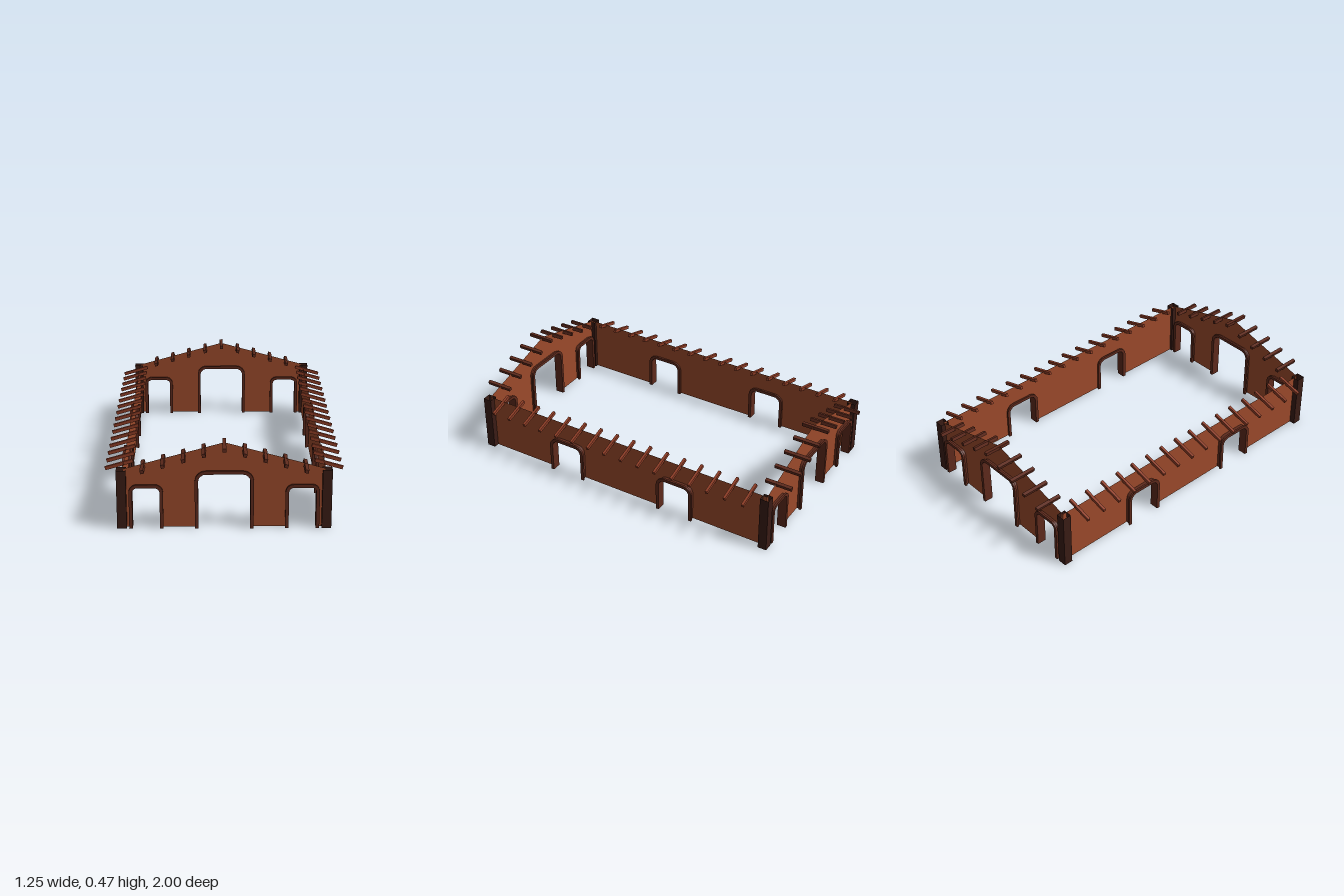
import * as THREE from 'three';

const mat = (color, side = THREE.FrontSide) => {
  const m = new THREE.MeshStandardMaterial({ color });
  m.side = side;
  return m;
};
const wallMat = mat(0x9c4a2b, THREE.DoubleSide);
const postMat = mat(0x3a1c15, THREE.DoubleSide);
const frameMat = mat(0x5e2a1c);
const rafterMat = mat(0x8f3d26);
const purlinMat = mat(0x5e2a1c);

const HALF_W = 0.525, HALF_L = 0.91, EAVE = 0.325, RIDGE = 0.47;
const SLOPE = Math.atan((RIDGE - EAVE) / HALF_W);

// Doorways: centre, half width of opening, height of opening, corner radius
const gableDoors = [[-0.406, 0.071, 0.227, 0.025], [0, 0.135, 0.302, 0.04], [0.406, 0.071, 0.227, 0.025]];
const sideDoors = [[-0.357, 0.095, 0.203, 0.035], [0.357, 0.095, 0.203, 0.035]];

function add(parent, name, geometry, material, x = 0, y = 0, z = 0) {
  const mesh = new THREE.Mesh(geometry, material);
  mesh.name = name;
  mesh.position.set(x, y, z);
  parent.add(mesh);
  return mesh;
}

// Points along a round-cornered doorway, from left foot to right foot
function archPoints([c, w, h, r], grow = 0) {
  w += grow; h += grow; r += grow;
  const pts = [new THREE.Vector2(c - w, 0)];
  for (const [cx, start] of [[c - w + r, Math.PI], [c + w - r, Math.PI / 2]]) {
    for (let i = 0; i <= 6; i++) {
      const a = start - (i / 6) * Math.PI / 2;
      pts.push(new THREE.Vector2(cx + r * Math.cos(a), h - r + r * Math.sin(a)));
    }
  }
  pts.push(new THREE.Vector2(c + w, 0));
  return pts;
}

// Arch-shaped band around a doorway
function archBand(door, width, depth) {
  const shape = new THREE.Shape([...archPoints(door, width), ...archPoints(door).reverse()]);
  return new THREE.ExtrudeGeometry(shape, { depth, bevelEnabled: false }).translate(0, 0, -depth / 2);
}

// Thin wall with doorways cut up from the ground, plus channel-shaped frames
function makeWall(name, half, doors, ridge, frameShift) {
  const group = new THREE.Group();
  group.name = name;
  const pts = [new THREE.Vector2(-half, 0)];
  for (const d of doors) pts.push(...archPoints(d, 0.005));
  pts.push(new THREE.Vector2(half, 0), new THREE.Vector2(half, EAVE));
  if (ridge) pts.push(new THREE.Vector2(0, ridge));
  pts.push(new THREE.Vector2(-half, EAVE));
  add(group, 'wallPanel', new THREE.ShapeGeometry(new THREE.Shape(pts)), wallMat);

  for (const d of doors) {
    const frame = new THREE.Group();
    frame.name = 'doorFrame';
    frame.position.z = frameShift;
    add(frame, 'lining', archBand(d, 0.010, 0.034), frameMat);
    for (const s of [-1, 1]) add(frame, 'flange', archBand(d, 0.018, 0.011), frameMat, 0, 0, s * 0.0205);
    group.add(frame);
  }
  return group;
}

export function createModel() {
  const model = new THREE.Group();
  model.name = 'gabledBuildingShell';

  for (const s of [1, -1]) {
    // Gable wall with the purlin ends under its roof line
    const gable = makeWall(s > 0 ? 'frontGable' : 'backGable', HALF_W, gableDoors, RIDGE, 0);
    for (let i = -4; i <= 4; i++) {
      const x = i * 0.105;
      const y = RIDGE - 0.011 - Math.abs(x) * Math.tan(SLOPE);
      const purlin = add(gable, 'purlin', new THREE.BoxGeometry(0.019, 0.019, 0.155), purlinMat, x, y, 0.0125);
      purlin.rotation.z = -Math.sign(i) * SLOPE;
    }
    gable.position.z = s * HALF_L;
    if (s < 0) gable.rotation.y = Math.PI;
    model.add(gable);

    // Long wall with sloping rafter tails over its top edge
    const long = makeWall(s > 0 ? 'leftWall' : 'rightWall', HALF_L, sideDoors, 0, 0.007);
    long.position.x = s * HALF_W;
    long.rotation.y = s * Math.PI / 2;
    model.add(long);
    for (let i = 0; i < 16; i++) {
      const rafter = add(model, 'rafterTail', new THREE.BoxGeometry(0.153, 0.018, 0.015), rafterMat,
        s * 0.548, 0.314, -0.816 + i * 0.1088);
      rafter.rotation.z = -s * 0.285;
    }

    // Hollow square corner posts, open at top and bottom
    for (const e of [1, -1]) {
      const geo = new THREE.CylinderGeometry(0.0354, 0.0354, EAVE, 4, 1, true).toNonIndexed();
      geo.rotateY(Math.PI / 4);
      geo.computeVertexNormals();
      add(model, 'cornerPost', geo, postMat, s * 0.533, EAVE / 2, e * HALF_L);
    }
  }
  return model;
}
